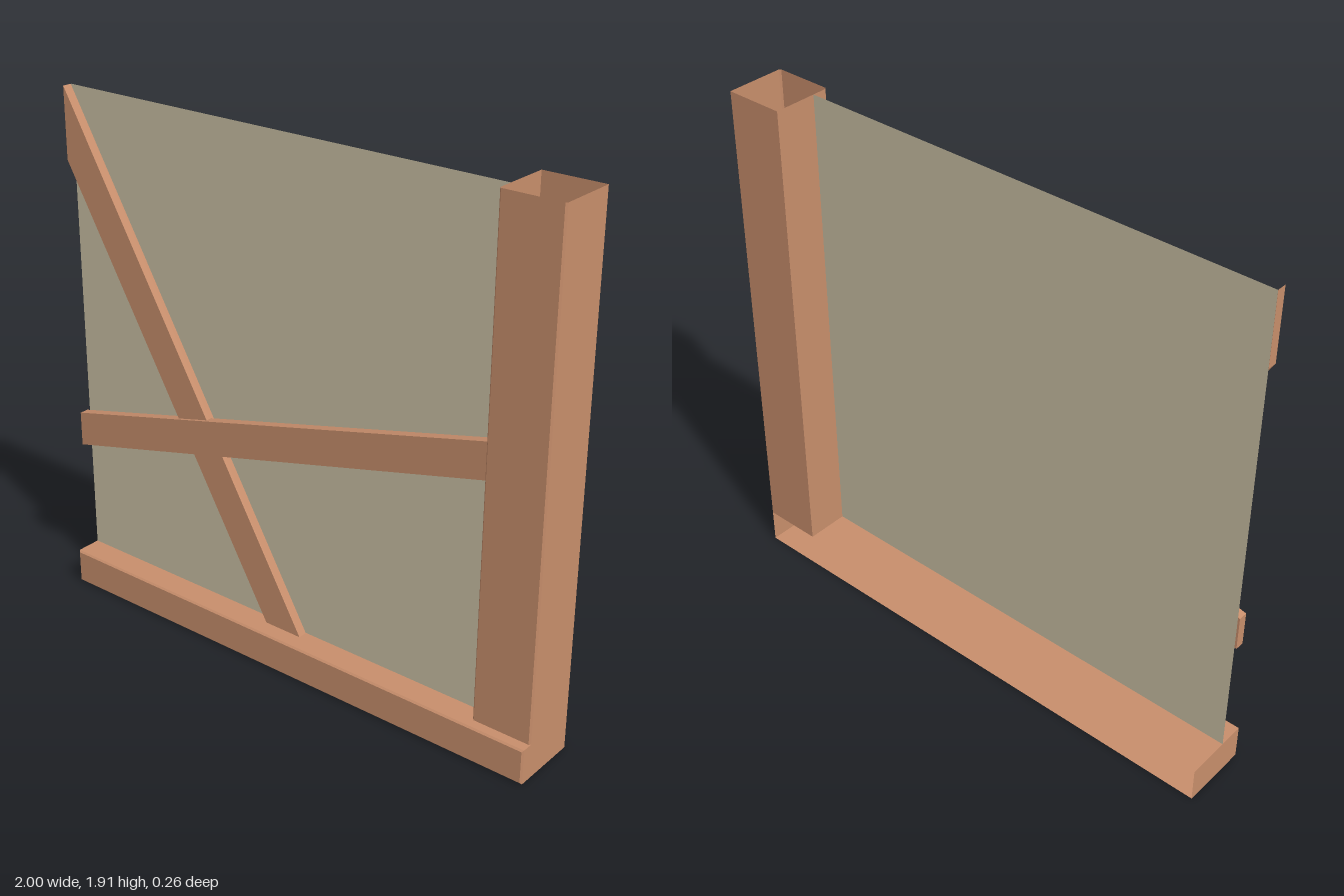
import * as THREE from 'three';

const mat = (color) => new THREE.MeshStandardMaterial({ color, flatShading: true, side: THREE.DoubleSide });
const wood = mat(0xc98f6c);
const plaster = mat(0xcbc1a5);

const BACK = -0.13, POST_FRONT = 0.09, SILL_FRONT = 0.13;
const TOP = 1.91, SILL_TOP = 0.13, POST_X = 0.78, C = 0.006;

function add(parent, name, geometry, material) {
  const mesh = new THREE.Mesh(geometry, material);
  mesh.name = name;
  parent.add(mesh);
  return mesh;
}

// Geometry from a list of quads, each with four corners in counter-clockwise order
function quads(list) {
  const pos = [];
  for (const q of list) for (const i of [0, 1, 2, 0, 2, 3]) pos.push(...q[i]);
  const g = new THREE.BufferGeometry();
  g.setAttribute('position', new THREE.Float32BufferAttribute(pos, 3));
  g.computeVertexNormals();
  return g;
}

// Hollow post: chamfered plan outline swept upward, open at both ends
function postGeometry() {
  const plan = [
    [POST_X, BACK], [POST_X, POST_FRONT - C], [POST_X + C, POST_FRONT],
    [1 - C, POST_FRONT], [1, POST_FRONT - C], [1, BACK],
  ];
  return quads(plan.map(([x, z], i) => {
    const [x2, z2] = plan[(i + 1) % plan.length];
    return [[x, SILL_TOP, z], [x2, SILL_TOP, z2], [x2, TOP, z2], [x, TOP, z]];
  }));
}

// Sill: shell open at the back and under the post, chamfered round the front
function sillGeometry() {
  const ring = (inset, z) => [
    [-1 + inset, inset, z], [1 - inset, inset, z],
    [1 - inset, SILL_TOP - inset, z], [-1 + inset, SILL_TOP - inset, z],
  ];
  const back = ring(0, BACK), edge = ring(0, SILL_FRONT - C), front = ring(C, SILL_FRONT);
  const list = [front];
  for (let i = 0; i < 4; i++) {
    const j = (i + 1) % 4;
    list.push([edge[i], edge[j], front[j], front[i]]);
    if (i !== 2) list.push([back[i], back[j], edge[j], edge[i]]);
  }
  // top face, leaving the square where the post stands
  const deck = (x0, x1, z0, z1) =>
    [[x0, SILL_TOP, z1], [x1, SILL_TOP, z1], [x1, SILL_TOP, z0], [x0, SILL_TOP, z0]];
  list.push(deck(-1, POST_X, BACK, SILL_FRONT - C), deck(POST_X, 1, POST_FRONT, SILL_FRONT - C));
  return quads(list);
}

// Flat brace: outline in the wall plane, given a thickness
function braceGeometry(corners, z, depth) {
  const shape = new THREE.Shape(corners.map(([x, y]) => new THREE.Vector2(x, y)));
  return new THREE.ExtrudeGeometry(shape, { depth, bevelEnabled: false }).translate(0, 0, z);
}

export function createModel() {
  const group = new THREE.Group();
  group.name = 'timberWall';

  add(group, 'post', postGeometry(), wood);
  add(group, 'sill', sillGeometry(), wood);

  // Thin infill panel
  const panel = add(group, 'panel', new THREE.PlaneGeometry(POST_X + 1, TOP - SILL_TOP), plaster);
  panel.position.set((POST_X - 1) / 2, (TOP + SILL_TOP) / 2, 0.03);

  // Braces, cut upright at the left edge and square where they enter the frame
  add(group, 'steepBrace',
    braceGeometry([[-1, 1.65], [-0.06, 0.04], [0.053, 0.105], [-1, 1.91]], 0.031, 0.035), wood);
  add(group, 'shallowBrace',
    braceGeometry([[-1, 0.56], [0.877, 1.013], [0.845, 1.136], [-1, 0.69]], 0.043, 0.034), wood);

  return group;
}
